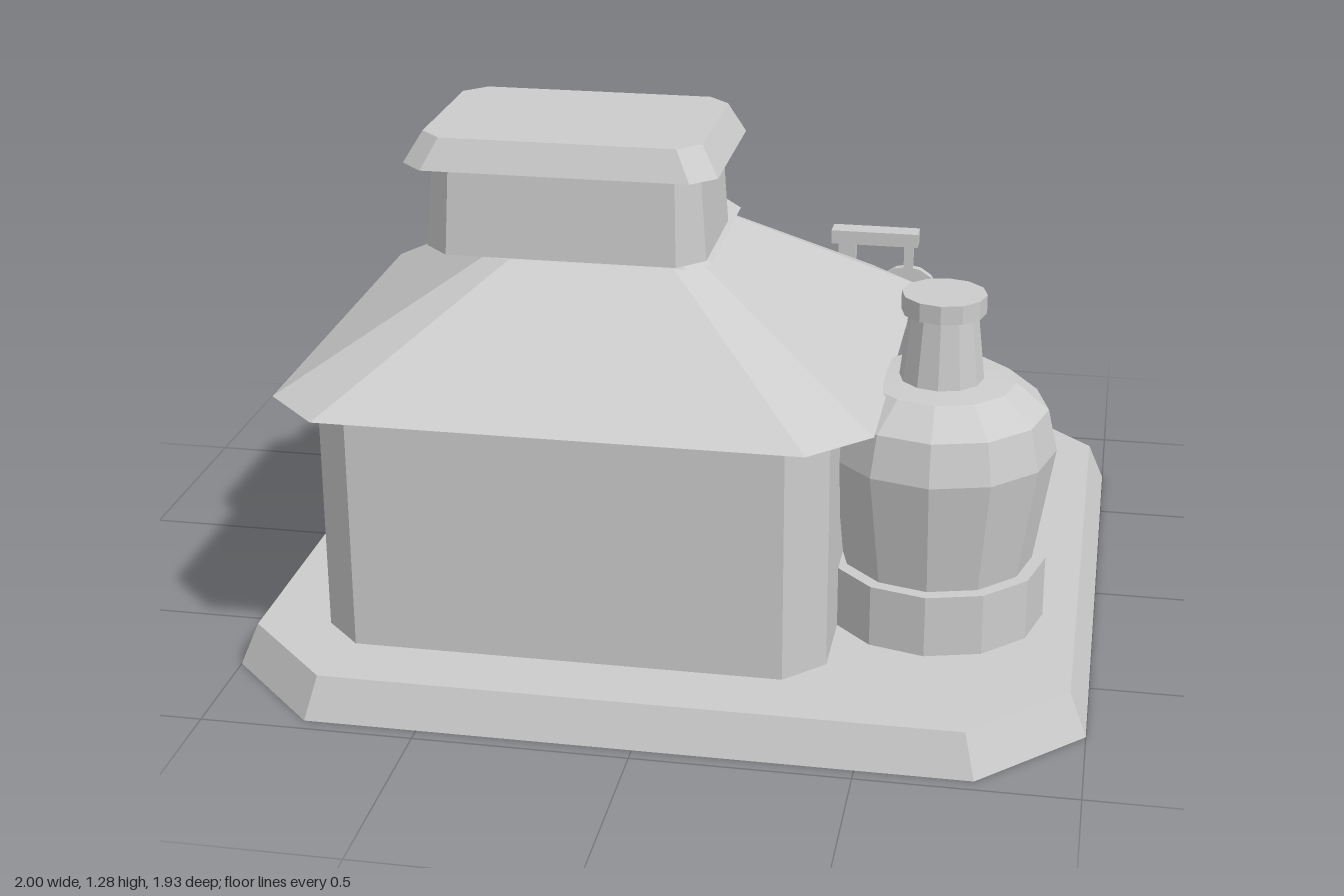
import * as THREE from 'three';

// Loft between chamfered rectangles; each level is [y, x0, x1, z0, z1, chamfer]
function chamferLoft(levels, openBottom = false) {
  const rings = levels.map(([y, x0, x1, z0, z1, c]) => [
    [x1 - c, y, z1], [x1, y, z1 - c], [x1, y, z0 + c], [x1 - c, y, z0],
    [x0 + c, y, z0], [x0, y, z0 + c], [x0, y, z1 - c], [x0 + c, y, z1],
  ]);
  const pos = [];
  const tri = (a, b, c) => pos.push(...a, ...b, ...c);
  for (let k = 0; k < rings.length - 1; k++) {
    const lo = rings[k], hi = rings[k + 1];
    for (let i = 0; i < 8; i++) {
      const j = (i + 1) % 8;
      tri(lo[i], lo[j], hi[j]);
      tri(lo[i], hi[j], hi[i]);
    }
  }
  const bottom = rings[0], top = rings[rings.length - 1];
  for (let i = 1; i < 7; i++) {
    tri(top[0], top[i], top[i + 1]);
    if (!openBottom) tri(bottom[0], bottom[i + 1], bottom[i]);
  }
  const g = new THREE.BufferGeometry();
  g.setAttribute('position', new THREE.Float32BufferAttribute(pos, 3));
  g.computeVertexNormals();
  return g;
}

export function createModel() {
  const model = new THREE.Group();
  const grey = new THREE.MeshStandardMaterial({ color: 0xcccccc, side: THREE.DoubleSide });
  grey.name = 'plainGrey';
  grey.flatShading = true;

  const add = (name, geometry, parent = model) => {
    const mesh = new THREE.Mesh(geometry, grey);
    mesh.name = name;
    parent.add(mesh);
    return mesh;
  };
  const box = (name, x0, x1, y0, y1, z0, z1, parent = model) =>
    add(name, new THREE.BoxGeometry(x1 - x0, y1 - y0, z1 - z0)
      .translate((x0 + x1) / 2, (y0 + y1) / 2, (z0 + z1) / 2), parent);
  const lathe = (name, x, z, sides, profile) => {
    const points = profile.map(([r, y]) => new THREE.Vector2(r, y));
    add(name, new THREE.LatheGeometry(points, sides)).position.set(x, 0, z);
  };

  // Ground slab, a shell open underneath
  add('platform', chamferLoft([
    [0, -1, 1, -0.968, 0.965, 0.235],
    [0.1, -0.96, 0.96, -0.932, 0.93, 0.22],
  ], true));

  // House walls and hipped roof
  add('walls', chamferLoft([
    [0.1, -0.79, 0.4, -0.365, 0.765, 0.09],
    [0.695, -0.79, 0.4, -0.365, 0.765, 0.09],
  ]));
  add('roof', chamferLoft([
    [0.688, -0.888, 0.5, -0.455, 0.838, 0.135],
    [0.973, -0.42, 0.03, -0.03, 0.41, 0.05],
  ]));
  add('roofCollar', chamferLoft([
    [0.968, -0.468, 0.083, -0.07, 0.46, 0.05],
    [0.998, -0.435, 0.05, -0.035, 0.43, 0.04],
  ]));

  // Roof vent with flared cap
  add('ventTower', chamferLoft([
    [0.997, -0.572, 0.084, 0.115, 0.535, 0.06],
    [1.21, -0.553, 0.07, 0.128, 0.522, 0.05],
  ]));
  add('ventCap', chamferLoft([
    [1.207, -0.609, 0.118, 0.07, 0.573, 0.055],
    [1.278, -0.567, 0.078, 0.096, 0.543, 0.05],
  ]));

  // Still: base drum, shouldered body, neck and lid
  lathe('stillBase', 0.617, 0.335, 12, [[0, 0.1], [0.262, 0.1], [0.262, 0.25], [0, 0.25]]);
  lathe('stillBody', 0.617, 0.335, 12, [
    [0, 0.25], [0.23, 0.25], [0.275, 0.53], [0.252, 0.63], [0.175, 0.693], [0, 0.705],
  ]);
  lathe('stillNeck', 0.617, 0.335, 12, [[0.1, 0.69], [0.08, 0.865]]);
  lathe('stillLid', 0.617, 0.335, 12, [[0, 0.86], [0.099, 0.86], [0.099, 0.905], [0, 0.905]]);

  // Sloped pipe and spout over the collecting pot
  const pipe = add('stillPipe', new THREE.CylinderGeometry(0.029, 0.029, 0.25, 6));
  pipe.position.set(0.61, 0.4, 0.035);
  pipe.rotation.x = Math.PI / 2 - 0.25;
  const spout = add('spout', new THREE.CylinderGeometry(0.029, 0.029, 0.09, 6));
  spout.position.set(0.61, 0.35, -0.066);
  lathe('collectingPot', 0.607, -0.083, 12, [
    [0, 0.1], [0.052, 0.1], [0.095, 0.21], [0.062, 0.25], [0.068, 0.268], [0.05, 0.268], [0, 0.255],
  ]);

  // Back porch awning with two raised battens, tilted down to the back
  const awning = new THREE.Group();
  awning.name = 'awning';
  awning.position.set(0, 0.535, -0.797);
  awning.rotation.x = -0.215;
  model.add(awning);
  add('awningBoard', chamferLoft([
    [-0.05, -0.706, 0.317, 0, 0.54, 0.055],
    [0, -0.706, 0.317, 0, 0.54, 0.055],
  ]), awning);
  for (const x of [-0.477, 0.092]) {
    box('awningBatten', x - 0.027, x + 0.027, -0.01, 0.008, 0.001, 0.54, awning);
  }
  for (const x of [-0.635, 0.24]) box('porchPost', x - 0.035, x + 0.035, 0.1, 0.52, -0.757, -0.685);

  // Back door: leaf, jambs and lintel
  box('doorLeaf', -0.38, -0.13, 0.1, 0.48, -0.375, -0.36);
  for (const x of [-0.38, -0.13]) box('doorJamb', x - 0.02, x + 0.02, 0.1, 0.5, -0.405, -0.36);
  box('doorLintel', -0.4, -0.11, 0.46, 0.5, -0.405, -0.36);

  // Wall lamp beside the door
  box('lampPlate', -0.6, -0.5, 0.36, 0.5, -0.425, -0.36);
  lathe('wallLamp', -0.55, -0.42, 8, [
    [0, 0.365], [0.018, 0.365], [0.034, 0.41], [0.022, 0.44], [0.012, 0.455], [0, 0.455],
  ]);

  // Small pot by the porch
  lathe('smallPot', -0.713, -0.7, 12, [
    [0, 0.1], [0.04, 0.1], [0.07, 0.17], [0.045, 0.2], [0.05, 0.22], [0.035, 0.22], [0, 0.21],
  ]);

  // Hanging sign
  box('signPost', 0.255, 0.3, 0.1, 0.7, -0.672, -0.628);
  box('signArm', 0.235, 0.47, 0.683, 0.72, -0.684, -0.626);
  box('signHanger', 0.432, 0.457, 0.59, 0.69, -0.666, -0.644);
  const sign = new THREE.CylinderGeometry(0.088, 0.088, 0.022, 16).rotateX(Math.PI / 2);
  add('signDisc', sign).position.set(0.443, 0.533, -0.655);

  return model;
}
